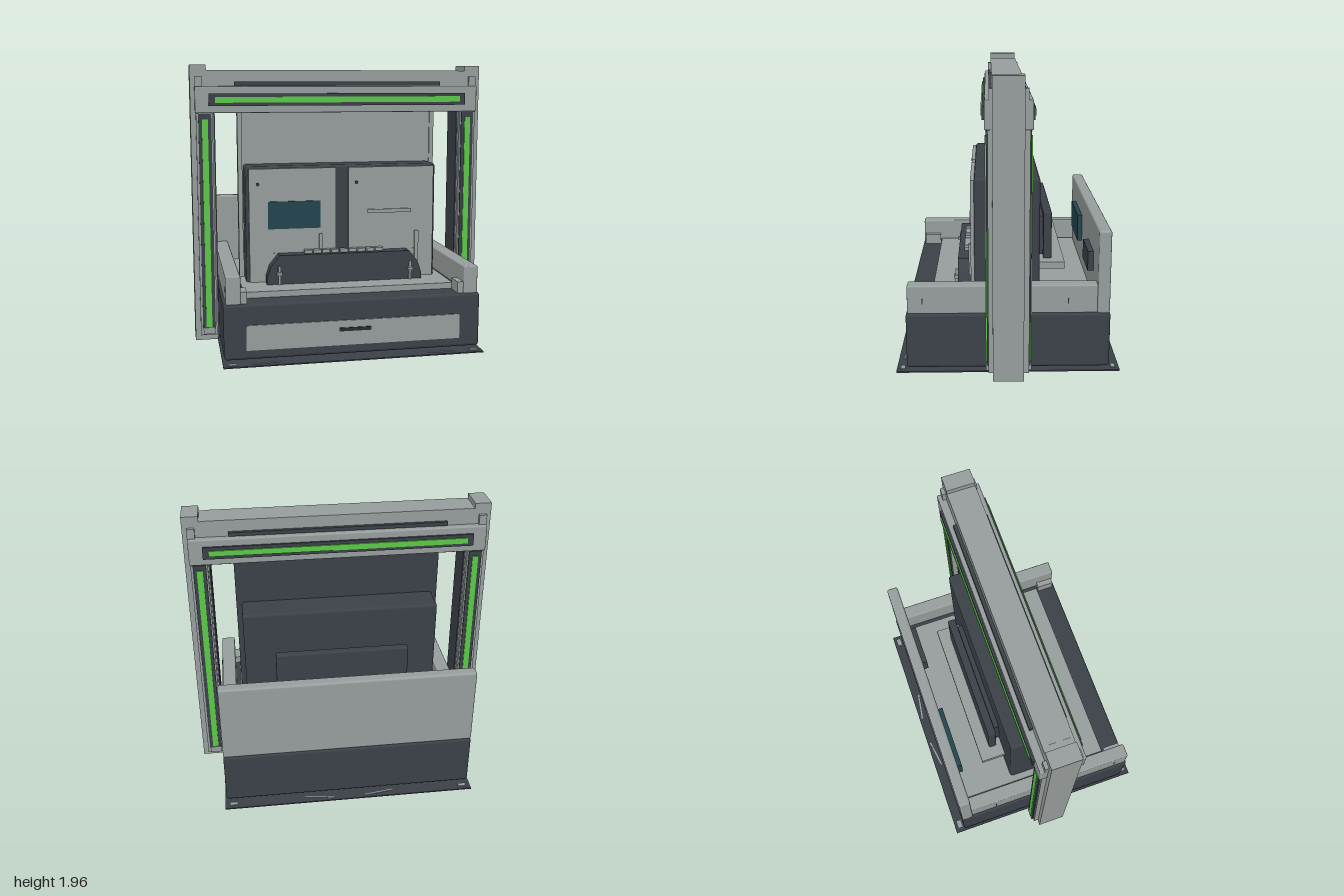
import * as THREE from 'three';
import { RoundedBoxGeometry } from 'three/addons/geometries/RoundedBoxGeometry.js';

const material = (name, color) => {
  const m = new THREE.MeshStandardMaterial({ color });
  m.name = name;
  return m;
};

export function createModel() {
  const model = new THREE.Group();
  model.name = 'gantryMachine';
  const grey = material('panel grey', 0x989f9e);
  const dark = material('dark slate', 0x3c4149);
  const black = material('trim black', 0x282c31);
  const green = material('light green', 0x5ccb49);
  const teal = material('screen teal', 0x23464f);

  // Box from its limits, with optional rounded edges
  const box = (name, mat, x0, x1, y0, y1, z0, z1, r = 0) => {
    const s = [x1 - x0, y1 - y0, z1 - z0];
    const geo = r ? new RoundedBoxGeometry(...s, 2, r) : new THREE.BoxGeometry(...s);
    const mesh = new THREE.Mesh(geo, mat);
    mesh.name = name;
    mesh.position.set((x0 + x1) / 2, (y0 + y1) / 2, (z0 + z1) / 2);
    model.add(mesh);
    return mesh;
  };
  // Same box on both sides of x = 0
  const pair = (name, mat, x0, x1, ...rest) => {
    box(name + 'Left', mat, x0, x1, ...rest);
    box(name + 'Right', mat, -x1, -x0, ...rest);
  };
  // Same box mirrored front to back
  const both = (name, mat, x0, x1, y0, y1, z0, z1, r) => {
    box(name + 'Front', mat, x0, x1, y0, y1, z0, z1, r);
    box(name + 'Back', mat, x0, x1, y0, y1, -z1, -z0, r);
  };

  // Underside: frame, end rails and slats
  box('underFrame', dark, -0.6, 0.6, 0.05, 0.083, -0.3, 0.3);
  pair('endRail', grey, 0.585, 0.635, 0.018, 0.06, -0.315, 0.315);
  both('longRail', grey, -0.585, 0.585, 0.025, 0.05, 0.215, 0.24);
  for (let i = 0; i < 10; i++) {
    const x = -0.45 + i * 0.1;
    box('slat', grey, x - 0.02, x + 0.02, 0.01, 0.05, -0.18, 0.18);
  }
  box('foot', black, -0.02, 0.02, 0, 0.05, -0.21, -0.19);

  // Base plate with corner pads and angled marks
  box('basePlate', dark, -0.85, 0.85, 0.083, 0.091, -0.706, 0.706);
  for (const s of [-1, 1]) {
    pair('cornerPad', grey, 0.765, 0.82, 0.091, 0.098, s * 0.667 - 0.014, s * 0.667 + 0.014);
    box('frontMark', grey, s * 0.575 - 0.09, s * 0.575 + 0.09, 0.091, 0.095, 0.656, 0.666).rotation.y = -s * 0.12;
    box('backMark', grey, s * 0.205 - 0.1, s * 0.205 + 0.1, 0.091, 0.095, -0.674, -0.664).rotation.y = -s * 0.15;
  }

  // Base body and drawer
  box('baseBody', dark, -0.84, 0.84, 0.11, 0.47, -0.64, 0.64, 0.02);
  box('drawerFront', grey, -0.7, 0.7, 0.172, 0.335, 0.638, 0.647);
  box('drawerHandle', black, -0.107, 0.104, 0.265, 0.288, 0.647, 0.653);

  // Deck, side walls and back panel
  box('deck', grey, -0.7, 0.7, 0.465, 0.51, -0.55, 0.49);
  pair('sideWall', grey, 0.73, 0.825, 0.465, 0.65, -0.56, 0.63, 0.01);
  pair('wallLiner', dark, 0.695, 0.735, 0.465, 0.495, -0.55, 0.5);
  pair('wallPost', grey, 0.69, 0.735, 0.465, 0.545, 0.5, 0.62);
  for (const z of [0.535, -0.375]) pair('wallSlit', black, 0.824, 0.828, 0.53, 0.565, z - 0.004, z + 0.004);
  box('backPanel', grey, -0.84, 0.84, 0.465, 1.0, -0.635, -0.557, 0.015);
  box('backPanelScreen', teal, -0.54, -0.1, 0.66, 0.85, -0.557, -0.525);
  box('backPanelKeypad', dark, 0.29, 0.58, 0.66, 0.79, -0.557, -0.52);

  // Tall dividing wall, grey in front and dark behind
  box('wallFront', grey, -0.69, 0.69, 0.47, 1.66, 0.015, 0.035);
  pair('wallEdge', grey, 0.66, 0.69, 0.47, 1.66, 0.035, 0.045);
  box('wallBack', dark, -0.69, 0.69, 0.47, 1.66, -0.01, 0.015);

  // Cabinet with two doors
  box('cabinet', dark, -0.655, 0.655, 0.47, 1.29, -0.205, 0.212, 0.02);
  box('doorRight', grey, -0.635, -0.048, 0.5, 1.275, 0.205, 0.235);
  box('doorLeft', grey, 0.04, 0.635, 0.5, 1.275, 0.205, 0.235);
  box('screen', teal, -0.51, -0.155, 0.87, 1.055, 0.235, 0.244);
  box('doorSlot', grey, 0.17, 0.475, 0.96, 0.985, 0.235, 0.246);
  for (const x of [-0.577, 0.093]) {
    const knob = new THREE.Mesh(new THREE.CylinderGeometry(0.011, 0.011, 0.012, 12), dark);
    knob.name = 'doorKnob';
    knob.rotation.x = Math.PI / 2;
    knob.position.set(x, 1.172, 0.24);
    model.add(knob);
  }

  // Rear shelf and raised rear plate
  box('rearShelf', grey, -0.53, 0.53, 0.66, 0.705, -0.375, -0.2);
  box('rearPlate', dark, -0.45, 0.45, 0.7, 1.02, -0.295, -0.24, 0.012);
  box('rearPlateMount', dark, -0.4, 0.4, 0.72, 0.98, -0.242, -0.2);

  // Control console with bevelled ends and keys
  const outline = new THREE.Shape([
    [-0.53, 0.51], [0.53, 0.51], [0.53, 0.555], [0.505, 0.63], [0.445, 0.705],
    [-0.445, 0.705], [-0.505, 0.63], [-0.53, 0.555],
  ].map(([x, y]) => new THREE.Vector2(x, y)));
  const consoleBody = new THREE.Mesh(
    new THREE.ExtrudeGeometry(outline, { depth: 0.085, bevelEnabled: false }), dark);
  consoleBody.name = 'console';
  consoleBody.position.z = 0.238;
  model.add(consoleBody);
  box('consoleLedge', grey, -0.525, 0.525, 0.67, 0.705, 0.222, 0.237);
  for (let i = 0; i < 9; i++) {
    const x = -0.245 + i * 0.061;
    box('key', grey, x - 0.026, x + 0.026, 0.705, 0.727, 0.245, 0.285);
  }
  box('leverRight', grey, -0.165, -0.145, 0.705, 0.83, 0.235, 0.25);
  box('leverLeft', grey, 0.503, 0.53, 0.62, 0.83, 0.235, 0.25);
  pair('consoleClip', grey, 0.44, 0.456, 0.51, 0.635, 0.323, 0.34);
  pair('consoleButton', grey, 0.43, 0.466, 0.575, 0.595, 0.323, 0.35);

  // Gantry columns, caps and top beam
  pair('column', grey, 0.85, 1.0, 0.09, 1.92, -0.092, 0.098);
  pair('columnCap', grey, 0.892, 1.0, 1.9, 1.955, -0.092, 0.098);
  pair('columnLining', dark, 0.84, 0.85, 0.1, 1.64, -0.09, 0.096);
  box('topBeam', grey, -0.85, 0.85, 1.64, 1.922, -0.092, 0.098);
  both('ventStrip', dark, -0.71, 0.71, 1.82, 1.845, 0.09, 0.116);

  // Light bars on the front and back of the gantry
  both('lightBeam', grey, -0.97, 0.97, 1.64, 1.815, 0.09, 0.143, 0.008);
  both('lightBeamHousing', dark, -0.88, 0.88, 1.687, 1.768, 0.14, 0.157);
  both('lightBeamStrip', green, -0.84, 0.84, 1.708, 1.746, 0.157, 0.165);
  for (const s of [-1, 1]) {
    const bar = (name, mat, a, b, ...rest) =>
      both(name, mat, s > 0 ? a : -b, s > 0 ? b : -a, ...rest);
    bar('beamBracket', grey, 0.92, 0.97, 1.81, 1.88, 0.09, 0.116);
    bar('columnRail', grey, 0.855, 0.965, 0.13, 1.645, 0.09, 0.125);
    bar('columnHousing', dark, 0.865, 0.95, 0.17, 1.635, 0.12, 0.134);
    bar('columnStrip', green, 0.888, 0.927, 0.19, 1.6, 0.134, 0.141);
    bar('columnFoot', grey, 0.87, 0.945, 0.14, 0.185, 0.12, 0.14);
  }
  return model;
}
